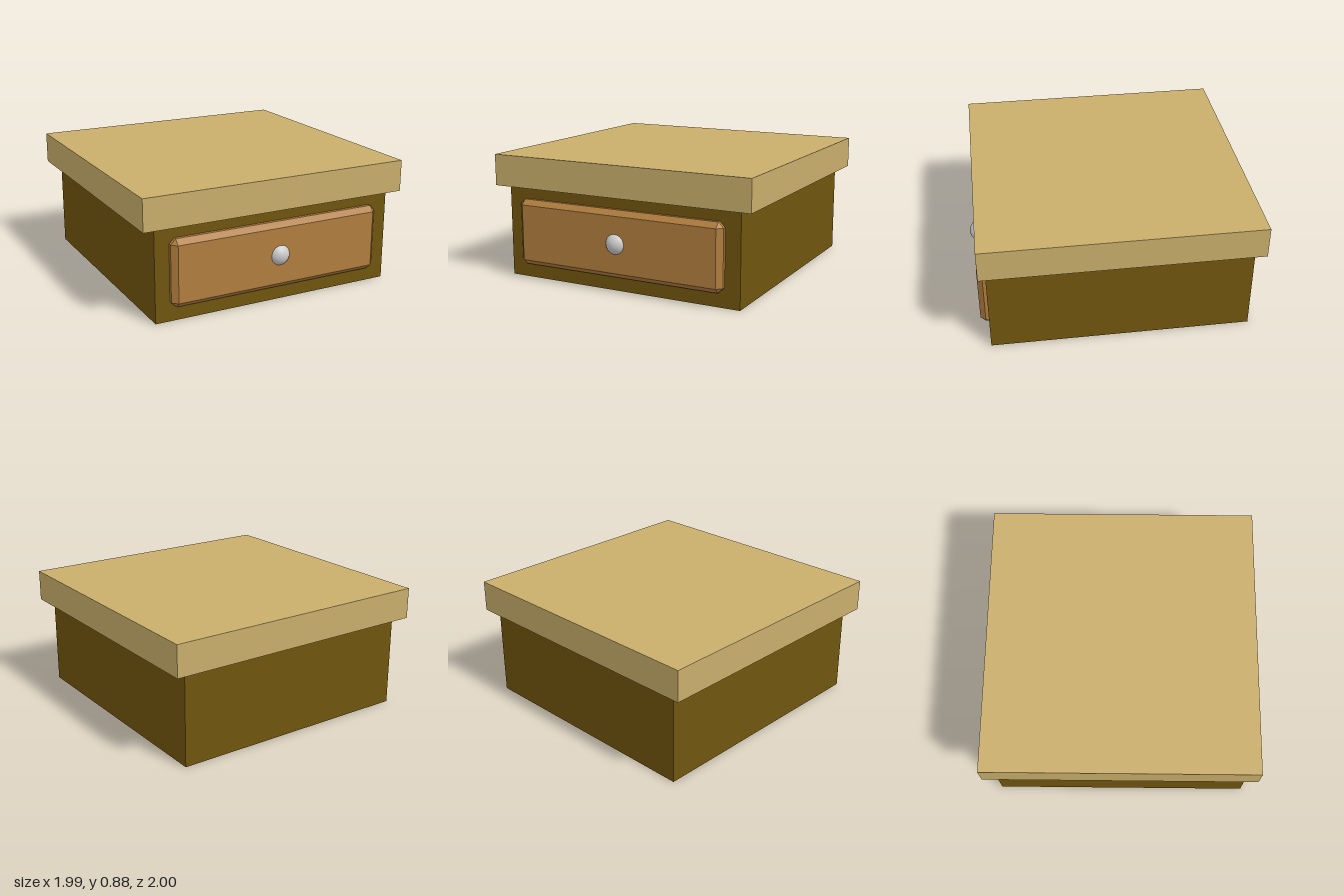
import * as THREE from 'three';
import { ConvexGeometry } from 'three/addons/geometries/ConvexGeometry.js';

const paint = (color) => new THREE.MeshStandardMaterial({ color });

function addPart(group, name, geometry, material, x, y, z) {
  const mesh = new THREE.Mesh(geometry, material);
  mesh.name = name;
  mesh.position.set(x, y, z);
  group.add(mesh);
}

// Box with every edge and corner cut at 45 degrees
function chamferedBox(w, h, d, c) {
  const points = [];
  for (const sx of [-1, 1]) for (const sy of [-1, 1]) for (const sz of [-1, 1]) {
    const [x, y, z] = [w / 2, h / 2, d / 2];
    points.push(
      new THREE.Vector3(sx * x, sy * (y - c), sz * (z - c)),
      new THREE.Vector3(sx * (x - c), sy * y, sz * (z - c)),
      new THREE.Vector3(sx * (x - c), sy * (y - c), sz * z));
  }
  return new ConvexGeometry(points);
}

export function createModel() {
  const model = new THREE.Group();
  model.name = 'nightstand';

  // Cabinet and overhanging top
  addPart(model, 'cabinet', new THREE.BoxGeometry(1.808, 0.66, 1.84), paint(0x70550e), 0, 0.33, -0.025);
  addPart(model, 'tabletop', new THREE.BoxGeometry(1.99, 0.225, 1.945), paint(0xc9ae6b), -0.002, 0.7725, -0.0285);

  // Drawer front, set into the cabinet, with its round knob
  addPart(model, 'drawerFront', chamferedBox(1.592, 0.475, 0.16, 0.037), paint(0xb07d3e), -0.004, 0.34, 0.876);
  addPart(model, 'knob', new THREE.SphereGeometry(0.08, 32, 20), paint(0xcccccc), 0, 0.345, 0.918);

  return model;
}
